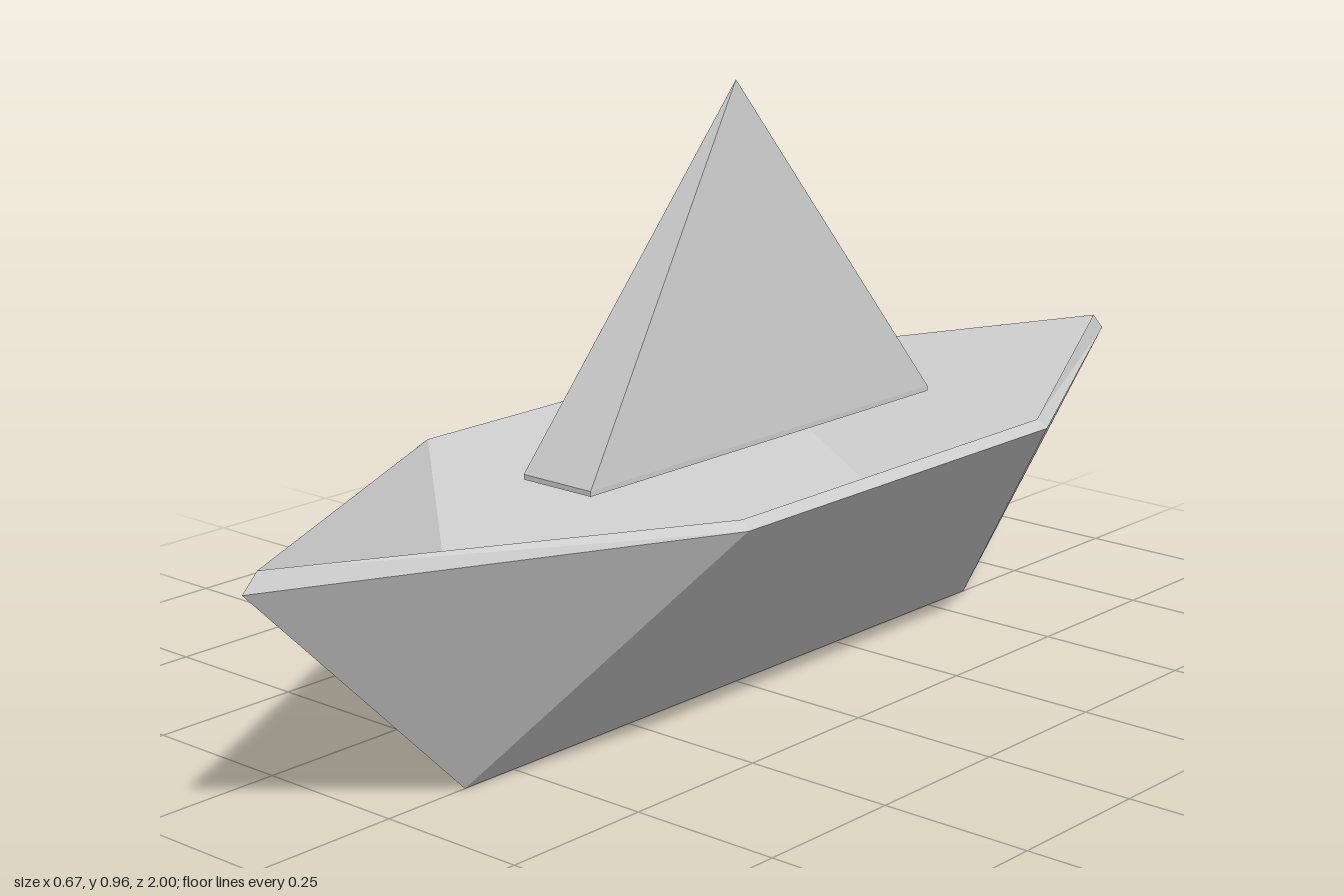
import * as THREE from 'three';

const material = () => new THREE.MeshStandardMaterial({ color: 0xcccccc, flatShading: true });

// Builds polygons given for the +x +z quarter, mirrored into all four quarters
function mirroredQuarters(polygons) {
  const positions = [];
  for (const sx of [1, -1]) {
    for (const sz of [1, -1]) {
      for (const polygon of polygons) {
        const pts = polygon.map(([x, y, z]) => [x * sx, y, z * sz]);
        if (sx * sz < 0) pts.reverse();
        for (let i = 1; i < pts.length - 1; i++) {
          positions.push(...pts[0], ...pts[i], ...pts[i + 1]);
        }
      }
    }
  }
  const geometry = new THREE.BufferGeometry();
  geometry.setAttribute('position', new THREE.Float32BufferAttribute(positions, 3));
  geometry.computeVertexNormals();
  return geometry;
}

function addMesh(group, name, geometry) {
  const mesh = new THREE.Mesh(geometry, material());
  mesh.name = name;
  group.add(mesh);
  return mesh;
}

export function createModel() {
  const model = new THREE.Group();
  model.name = 'foldedBoat';

  // Hull corners: keel, rim corner and pointed tip, outside and inside;
  // "mid" points lie on the plane z = 0
  const keel = [0, 0, 0.6], keelMid = [0, 0, 0];
  const corner = [0.336, 0.403, 0.36], cornerMid = [0.336, 0.403, 0];
  const tip = [0, 0.396, 1];
  const inKeel = [0, 0.037, 0.59], inKeelMid = [0, 0.037, 0];
  const inCorner = [0.32, 0.416, 0.355], inCornerMid = [0.32, 0.416, 0];
  const inTip = [0, 0.424, 0.972];

  addMesh(model, 'hullOutside', mirroredQuarters([
    [keelMid, cornerMid, corner, keel],
    [keel, corner, tip],
  ]));
  addMesh(model, 'rim', mirroredQuarters([
    [cornerMid, inCornerMid, inCorner, corner],
    [corner, inCorner, inTip, tip],
  ]));
  addMesh(model, 'hullInside', mirroredQuarters([
    [inCornerMid, inKeelMid, inKeel, inCorner],
    [inCorner, inKeel, inTip],
  ]));

  // Sail: a thin four-sided pyramid on a shallow base slab
  const sail = new THREE.Group();
  sail.name = 'sail';
  const width = 0.136, length = 0.8, baseY = 0.418, topY = 0.965;
  const pyramid = new THREE.ConeGeometry(Math.SQRT1_2, 1, 4)
    .rotateY(Math.PI / 4)
    .scale(width, topY - baseY, length);
  addMesh(sail, 'sailPyramid', pyramid).position.y = (baseY + topY) / 2;
  addMesh(sail, 'sailBase', new THREE.BoxGeometry(width, 0.008, length)).position.y = baseY - 0.004;
  model.add(sail);

  return model;
}
